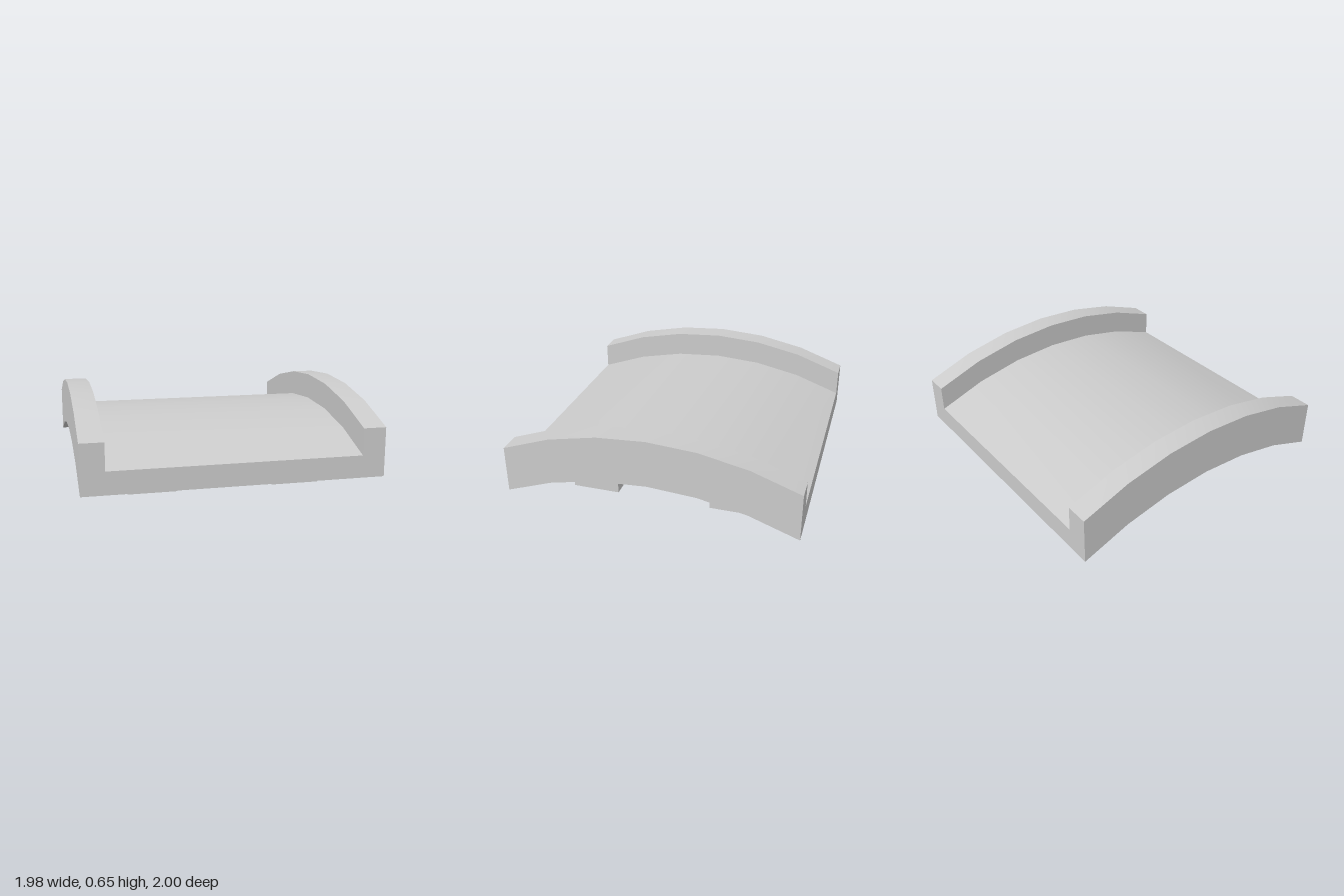
import * as THREE from 'three';
import { toCreasedNormals } from 'three/addons/utils/BufferGeometryUtils.js';

const HALF_WIDTH = 0.99;
const INNER = 0.835;
const CROWN = 0.32; // underside height at the middle of the arch
const RADIUS = 2.486;

// Height of the arched underside at a given z
const underside = (z) => CROWN - (RADIUS - Math.sqrt(RADIUS * RADIUS - z * z));

// U-shaped channel swept along the arch in six straight spans
function archedDeck() {
  const profile = new THREE.Shape([
    [-HALF_WIDTH, 0], [HALF_WIDTH, 0], [HALF_WIDTH, 0.33], [INNER, 0.33],
    [INNER, 0.15], [-INNER, 0.15], [-INNER, 0.33], [-HALF_WIDTH, 0.33],
  ].map(([x, y]) => new THREE.Vector2(x, y)));
  const geometry = new THREE.ExtrudeGeometry(profile, { depth: 2, steps: 6, bevelEnabled: false });
  geometry.translate(0, 0, -1);
  const p = geometry.attributes.position;
  for (let i = 0; i < p.count; i++) p.setY(i, p.getY(i) + underside(p.getZ(i)));
  return toCreasedNormals(geometry, Math.PI / 6);
}

// Hollow square foot, open below, its top edge cut to the arch
function hollowFoot(x, z) {
  const geometry = new THREE.CylinderGeometry(Math.SQRT1_2, Math.SQRT1_2, 1, 4, 1, true, Math.PI / 4);
  geometry.scale(0.33, 1, 0.333).translate(x, 0.5, z);
  const p = geometry.attributes.position;
  for (let i = 0; i < p.count; i++) if (p.getY(i) > 0.5) p.setY(i, underside(p.getZ(i)));
  const flat = geometry.toNonIndexed();
  flat.computeVertexNormals();
  return flat;
}

export function createModel() {
  const group = new THREE.Group();
  group.name = 'archedBridge';

  const deck = new THREE.Mesh(archedDeck(), new THREE.MeshStandardMaterial({ color: 0xcccccc }));
  deck.name = 'deckWithSideRails';
  group.add(deck);

  const footMaterial = new THREE.MeshStandardMaterial({ color: 0xcccccc, side: THREE.DoubleSide });
  for (const sx of [-1, 1]) {
    for (const sz of [-1, 1]) {
      const foot = new THREE.Mesh(hollowFoot(sx * 0.495, sz * 0.5), footMaterial);
      foot.name = (sz > 0 ? 'front' : 'back') + (sx > 0 ? 'Left' : 'Right') + 'Foot';
      group.add(foot);
    }
  }
  return group;
}
